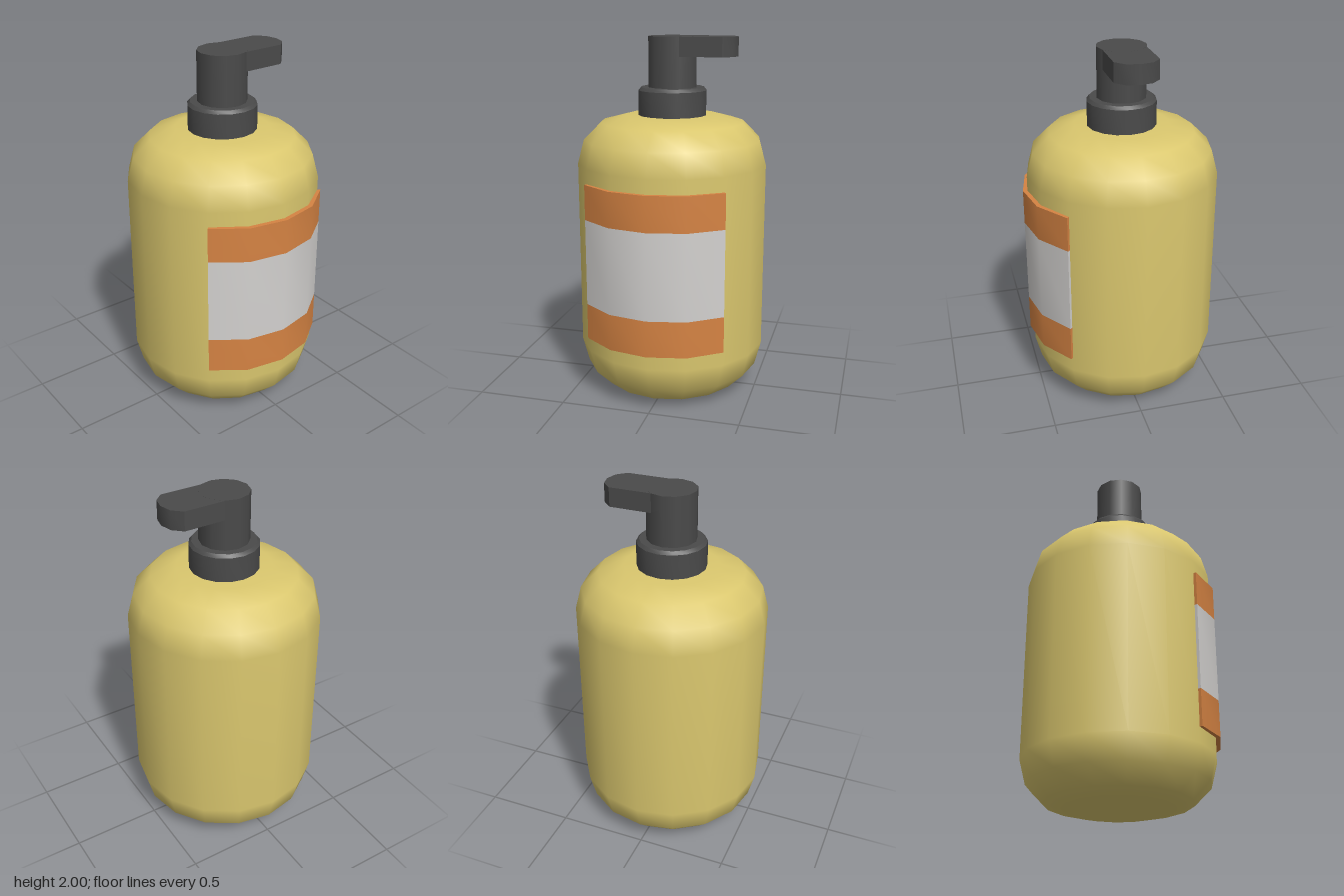
import * as THREE from 'three';
import { toCreasedNormals } from 'three/addons/utils/BufferGeometryUtils.js';

const material = (name, color) => {
  const m = new THREE.MeshStandardMaterial({ color });
  m.name = name;
  return m;
};

const lathe = (points, sides) =>
  new THREE.LatheGeometry(points.map(([r, y]) => new THREE.Vector2(r, y)), sides);

// Extrude a floor outline, given as [x, z] points, upward from y0 to y1
function slab(outline, y0, y1) {
  const shape = new THREE.Shape(outline.map(([x, z]) => new THREE.Vector2(x, -z)));
  const g = new THREE.ExtrudeGeometry(shape, { depth: y1 - y0, bevelEnabled: false });
  g.rotateX(-Math.PI / 2).translate(0, y0, 0);
  return toCreasedNormals(g, 0.6);
}

export function createModel() {
  const yellow = material('yellow plastic', 0xdac76e);
  const dark = material('dark plastic', 0x4a4a4a);
  const orange = material('orange label', 0xd58343);
  const white = material('white label', 0xd3d1cf);

  const group = new THREE.Group();
  group.name = 'pumpBottle';
  const add = (name, geometry, mat) => {
    const mesh = new THREE.Mesh(geometry, mat);
    mesh.name = name;
    mesh.position.z = -0.012;
    group.add(mesh);
  };

  // Bottle with rounded shoulder and foot
  add('bottle', lathe([
    [0, 0], [0.26, 0], [0.4, 0.035], [0.495, 0.13], [0.53, 0.265],
    [0.53, 1.31], [0.495, 1.44], [0.4, 1.535], [0.26, 1.572], [0, 1.572],
  ], 16), yellow);

  // Collar and pump stem
  add('collar', toCreasedNormals(lathe([
    [0, 1.55], [0.19, 1.55], [0.19, 1.708], [0.175, 1.725], [0, 1.725],
  ], 16), 0.6), dark);
  const stem = new THREE.CylinderGeometry(0.136, 0.136, 0.3, 12);
  stem.translate(0, 1.85, 0);
  add('pumpStem', stem, dark);

  // Flat nozzle with a rounded tip
  add('nozzle', slab([
    [0, 0.118], [0.3, 0.118], [0.35, 0.07], [0.366, 0],
    [0.35, -0.07], [0.3, -0.118], [0, -0.118],
  ], 1.895, 1.9995), dark);

  // Wrapped label in three bands, following the front four bottle facets
  const arc = (r) => [-2, -1, 0, 1, 2].map((i) => {
    const a = (i * Math.PI) / 8;
    const k = Math.abs(i) === 2 ? r - 0.008 : r;
    return [k * Math.sin(a), k * Math.cos(a)];
  });
  const labelOutline = [...arc(0.555), ...arc(0.526).reverse()];
  add('labelBottomBand', slab(labelOutline, 0.35, 0.553), orange);
  add('labelPanel', slab(labelOutline, 0.553, 1.035), white);
  add('labelTopBand', slab(labelOutline, 1.035, 1.23), orange);

  return group;
}
